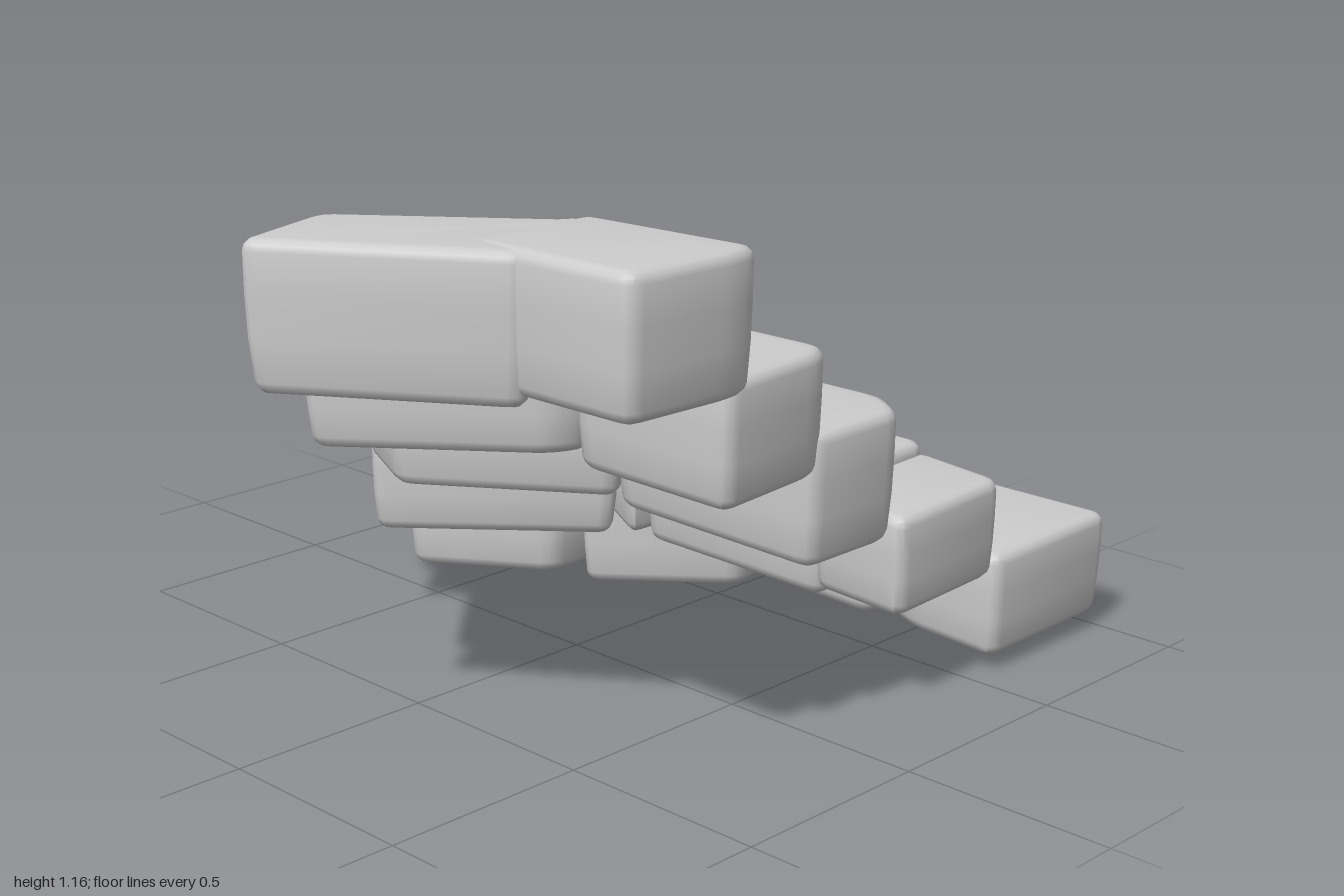
import * as THREE from 'three';
import { toCreasedNormals } from 'three/addons/utils/BufferGeometryUtils.js';

const stoneGrey = new THREE.MeshStandardMaterial({ color: 0xcccccc });
stoneGrey.name = 'stone grey';

// Outline in plan (x, z) with each corner rounded off
function roundedOutline(points, radius) {
  const shape = new THREE.Shape();
  const pts = points.map(([x, z]) => new THREE.Vector2(x, -z));
  pts.forEach((p, i) => {
    const prev = pts[(i + pts.length - 1) % pts.length];
    const next = pts[(i + 1) % pts.length];
    const a = prev.clone().sub(p), b = next.clone().sub(p);
    const from = p.clone().add(a.clone().setLength(Math.min(radius, a.length() * 0.4)));
    const to = p.clone().add(b.clone().setLength(Math.min(radius, b.length() * 0.4)));
    if (i === 0) shape.moveTo(from.x, from.y);
    else shape.lineTo(from.x, from.y);
    shape.quadraticCurveTo(p.x, p.y, to.x, to.y);
  });
  shape.closePath();
  return shape;
}

// A worn block: rounded prism, slightly tilted on top and drawn in towards its underside
function stone(name, bottom, top, points, bevel = 0.026, taper = 0.05) {
  const height = top - bottom;
  const geo = new THREE.ExtrudeGeometry(roundedOutline(points, bevel * 1.5), {
    depth: height - 2 * bevel, steps: 3, curveSegments: 3,
    bevelThickness: bevel, bevelSize: bevel, bevelOffset: -bevel, bevelSegments: 3,
  });
  geo.rotateX(-Math.PI / 2);
  geo.translate(0, bottom + bevel, 0);
  const cx = points.reduce((s, p) => s + p[0], 0) / points.length;
  const cz = points.reduce((s, p) => s + p[1], 0) / points.length;
  const tiltX = 0.02 * Math.sin(cx * 20), tiltZ = 0.02 * Math.sin(cz * 20);
  const pos = geo.attributes.position;
  for (let i = 0; i < pos.count; i++) {
    const x = pos.getX(i), y = pos.getY(i), z = pos.getZ(i);
    const t = (top - y) / height;
    const k = 1 - taper * t * t * t;
    pos.setXYZ(i,
      cx + (x - cx) * k,
      y + tiltX * (x - cx) + tiltZ * (z - cz),
      cz + (z - cz) * k);
  }
  const mesh = new THREE.Mesh(toCreasedNormals(geo, 0.7), stoneGrey);
  mesh.name = name;
  return mesh;
}

// Each step: [name, bottom, top, plan outline, bevel]
const steps = {
  firstStep: [
    ['frontBlock', 0.045, 0.3, [[0.55, 0.81], [1, 0.81], [0.99, 0.46], [0.64, 0.39], [0.57, 0.55]]],
    ['middleBlock', 0.03, 0.315, [[0.59, 0.41], [0.74, 0.44], [0.98, 0.47], [1, -0.06], [0.94, -0.11], [0.6, -0.03]]],
    ['innerBlock', 0.01, 0.3, [[0.56, 0.03], [0.7, 0], [0.9, -0.1], [0.64, -0.46], [0.4, -0.36], [0.29, -0.28]]],
    ['backBlock', 0.025, 0.292, [[0.25, -0.84], [0.32, -0.86], [0.63, -0.46], [0.4, -0.34], [0.26, -0.34], [0.05, -0.67]]],
  ],
  secondStep: [
    ['frontBlock', 0.24, 0.475, [[0.19, 0.81], [0.57, 0.8], [0.62, 0.53], [0.22, 0.53]]],
    ['middleBlock', 0.22, 0.51, [[0.23, 0.56], [0.61, 0.55], [0.6, 0.05], [0.38, -0.02], [0.22, 0]]],
    ['wedgeBlock', 0.25, 0.49, [[0.16, 0.02], [0.55, 0.05], [0.58, -0.02], [0.49, -0.22], [0.4, -0.29], [0.3, -0.24]]],
    ['backBlock', 0.24, 0.49, [[-0.24, -0.47], [0.02, -0.68], [0.07, -0.66], [0.2, -0.48], [0.37, -0.23], [0.16, -0.02]]],
  ],
  thirdStep: [
    ['frontBlock', 0.43, 0.73, [[-0.1, 0.22], [0.2, 0.05], [0.23, 0.72], [0.17, 0.81], [-0.1, 0.8]]],
    ['backBlock', 0.45, 0.735, [[-0.41, -0.18], [-0.29, -0.43], [-0.22, -0.44], [0.18, 0.02], [0.12, 0.09], [-0.08, 0.23]]],
  ],
  fourthStep: [
    ['frontBlock', 0.63, 0.905, [[-0.4, 0.4], [-0.07, 0.2], [-0.05, 0.78], [-0.1, 0.81], [-0.4, 0.83]]],
    ['backBlock', 0.65, 0.9, [[-0.77, -0.04], [-0.49, -0.3], [-0.09, 0.2], [-0.34, 0.4], [-0.43, 0.37]]],
  ],
  fifthStep: [
    ['frontBlock', 0.865, 1.165, [[-0.68, 0.38], [-0.34, 0.38], [-0.33, 0.84], [-0.41, 0.855], [-0.69, 0.84]]],
    ['backBlock', 0.84, 1.16, [[-1.015, 0.08], [-0.73, -0.02], [-0.34, 0.4], [-0.5, 0.42], [-0.67, 0.55]]],
  ],
  wedgedPebbles: [
    ['frontPebble', 0.46, 0.55, [[0.2, 0.57], [0.27, 0.56], [0.3, 0.62], [0.21, 0.68]], 0.02],
    ['middlePebble', 0.43, 0.53, [[0.13, 0.0], [0.18, -0.06], [0.23, -0.03], [0.22, 0.06]], 0.02],
    ['backPebble', 0.28, 0.45, [[0.26, -0.38], [0.35, -0.39], [0.36, -0.3], [0.3, -0.26]], 0.02],
  ],
};

export function createModel() {
  const model = new THREE.Group();
  model.name = 'curvedStoneStairs';
  for (const [name, blocks] of Object.entries(steps)) {
    const step = new THREE.Group();
    step.name = name;
    for (const block of blocks) step.add(stone(...block));
    model.add(step);
  }
  return model;
}
